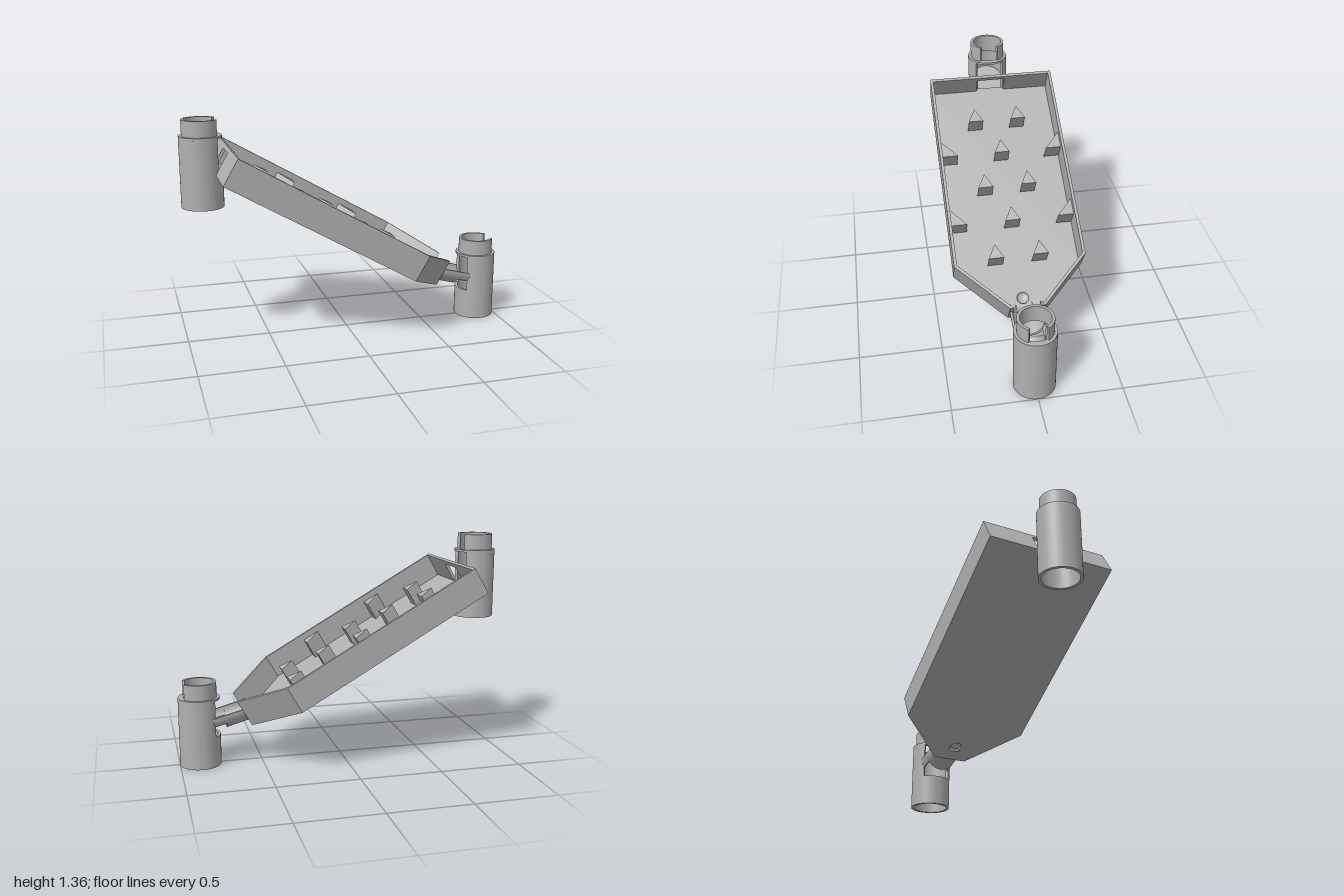
import * as THREE from 'three';
import { toCreasedNormals } from 'three/addons/utils/BufferGeometryUtils.js';

const grey = new THREE.MeshStandardMaterial({ color: 0xb0b0b0 });
grey.name = 'plain grey';

function part(parent, name, geometry) {
  const mesh = new THREE.Mesh(geometry, grey);
  mesh.name = name;
  parent.add(mesh);
  return mesh;
}

const polygon = pts => new THREE.Shape(pts.map(p => new THREE.Vector2(p[0], p[1])));

function extrude(shape, depth) {
  const g = new THREE.ExtrudeGeometry(shape, { depth, bevelEnabled: false, curveSegments: 48 });
  return toCreasedNormals(g, 0.5);
}

// plan outline (x, -z) raised from y0 to y1
const raise = (shape, y0, y1) => extrude(shape, y1 - y0).rotateX(-Math.PI / 2).translate(0, y0, 0);
// section (-z, y) run from x0 to x1
const run = (shape, x0, x1) => extrude(shape, x1 - x0).rotateY(Math.PI / 2).translate(x0, 0, 0);

// ring sector between two angles
function sector(ri, ro, a0, a1) {
  const s = new THREE.Shape();
  s.absarc(0, 0, ro, a0, a1, false);
  s.absarc(0, 0, ri, a1, a0, true);
  s.closePath();
  return s;
}

function ring(ri, ro) {
  const s = new THREE.Shape().absarc(0, 0, ro, 0, Math.PI * 2, false);
  s.holes.push(new THREE.Path().absarc(0, 0, ri, 0, Math.PI * 2, true));
  return s;
}

// hollow post with a side window, and a narrower collar slotted on +x
function makePost(name, windowAngle) {
  const post = new THREE.Group();
  post.name = name;
  const gap = 0.78, slot = 0.55;
  part(post, 'lowerSleeve', raise(ring(0.107, 0.125), 0, 0.187));
  part(post, 'windowSleeve', raise(
    sector(0.107, 0.125, windowAngle + gap, windowAngle + Math.PI * 2 - gap), 0.187, 0.408));
  part(post, 'topRim', raise(ring(0.09, 0.125), 0.408, 0.422));
  part(post, 'collar', raise(sector(0.09, 0.107, slot, Math.PI * 2 - slot), 0.422, 0.516));
  return post;
}

function makeTray() {
  const tray = new THREE.Group();
  tray.name = 'tray';
  const len = 1.588, bend = 1.298, half = 0.395, tip = 0.105, wall = 0.018, floor = 0.02, high = 0.173;

  // floor with a small dimple
  const base = polygon([[0, -half], [bend, -half], [len, -tip], [len, tip], [bend, half], [0, half]]);
  const dimpleX = 1.483;
  base.holes.push(new THREE.Path().absarc(dimpleX, 0, 0.036, 0, Math.PI * 2, true));
  part(tray, 'floor', raise(base, 0, floor));
  const cup = new THREE.SphereGeometry(0.036, 24, 8, 0, Math.PI * 2, Math.PI / 2, Math.PI / 2);
  const cupMesh = part(tray, 'dimple', cup.scale(1, 0.6, 1).translate(dimpleX, floor, 0));
  cupMesh.material = cupGrey;

  // side walls narrowing to the open tip
  for (const s of [1, -1]) {
    const pts = [[0, half], [0, half - wall], [bend - 0.0075, half - wall],
      [len, tip - wall * 1.414], [len, tip], [bend, half]].map(p => [p[0], p[1] * s]);
    part(tray, 'sideWall', raise(polygon(pts), floor, high));
  }

  // back wall with the inlet opening
  const back = polygon([[-half, 0], [half, 0], [half, high], [-half, high]]);
  back.holes.push(polygon([[-0.09, floor], [-0.09, 0.144], [0.09, 0.144], [0.09, floor]]));
  part(tray, 'backWall', run(back, 0, wall));

  // wedge pegs pointing uphill, staggered, with half wedges against the walls
  const top = floor + 0.115, w = 0.047;
  const wedge = (u, z) => part(tray, 'peg', raise(polygon([[u - 0.09, z], [u, z - w], [u, z + w]]), floor, top));
  for (let i = 0; i < 3; i++) {
    const u = 0.314 + i * 0.471;
    wedge(u, 0.135);
    wedge(u, -0.135);
    if (i === 2) continue;
    const v = u + 0.2355;
    wedge(v, 0);
    for (const s of [1, -1]) {
      part(tray, 'wallPeg', raise(
        polygon([[v - 0.11, 0.38 * s], [v, 0.28 * s], [v, 0.38 * s]]), floor, top));
    }
  }
  tray.position.set(-0.805, 1.045, 0);
  tray.rotation.z = -Math.PI / 6;
  return tray;
}

// sloping half-pipe from the tray tip to the lower post
function makeSpout() {
  const spout = new THREE.Group();
  spout.name = 'spout';
  const PI = Math.PI;
  const slope = (shape, x0, x1) => {
    const g = run(shape, x0, x1);
    const p = g.attributes.position;
    for (let i = 0; i < p.count; i++) p.setY(i, p.getY(i) + 0.325 - 0.27 * (p.getX(i) - 0.715));
    return toCreasedNormals(g, 0.5);
  };
  part(spout, 'spoutNose', slope(sector(0.087, 0.102, 1.5 * PI - 0.6, 1.5 * PI + 0.6), 0.495, 0.58));
  part(spout, 'trough', slope(sector(0.087, 0.102, PI, 2 * PI), 0.58, 0.715));
  part(spout, 'leftArm', slope(sector(0.09, 0.102, PI, PI + 0.6), 0.715, 0.81));
  part(spout, 'rightArm', slope(sector(0.09, 0.102, 2 * PI - 0.6, 2 * PI), 0.715, 0.81));
  return spout;
}

// same grey, shown from both sides for the open dimple
const cupGrey = grey.clone();
cupGrey.side = THREE.DoubleSide;

export function createModel() {
  const model = new THREE.Group();
  model.name = 'rampWithPosts';

  const upper = makePost('upperPost', 0);
  upper.position.set(-0.875, 0.845, 0);
  // tilted floor that feeds the tray
  const disc = new THREE.CylinderGeometry(0.108, 0.108, 0.015, 48);
  const p = disc.attributes.position;
  for (let i = 0; i < p.count; i++) p.setY(i, p.getY(i) - 0.577 * p.getX(i) + 0.22);
  disc.computeVertexNormals();
  part(upper, 'feedFloor', disc);

  const lower = makePost('lowerPost', Math.PI);
  lower.position.set(0.875, 0, 0);

  model.add(upper, lower, makeTray(), makeSpout());
  return model;
}
